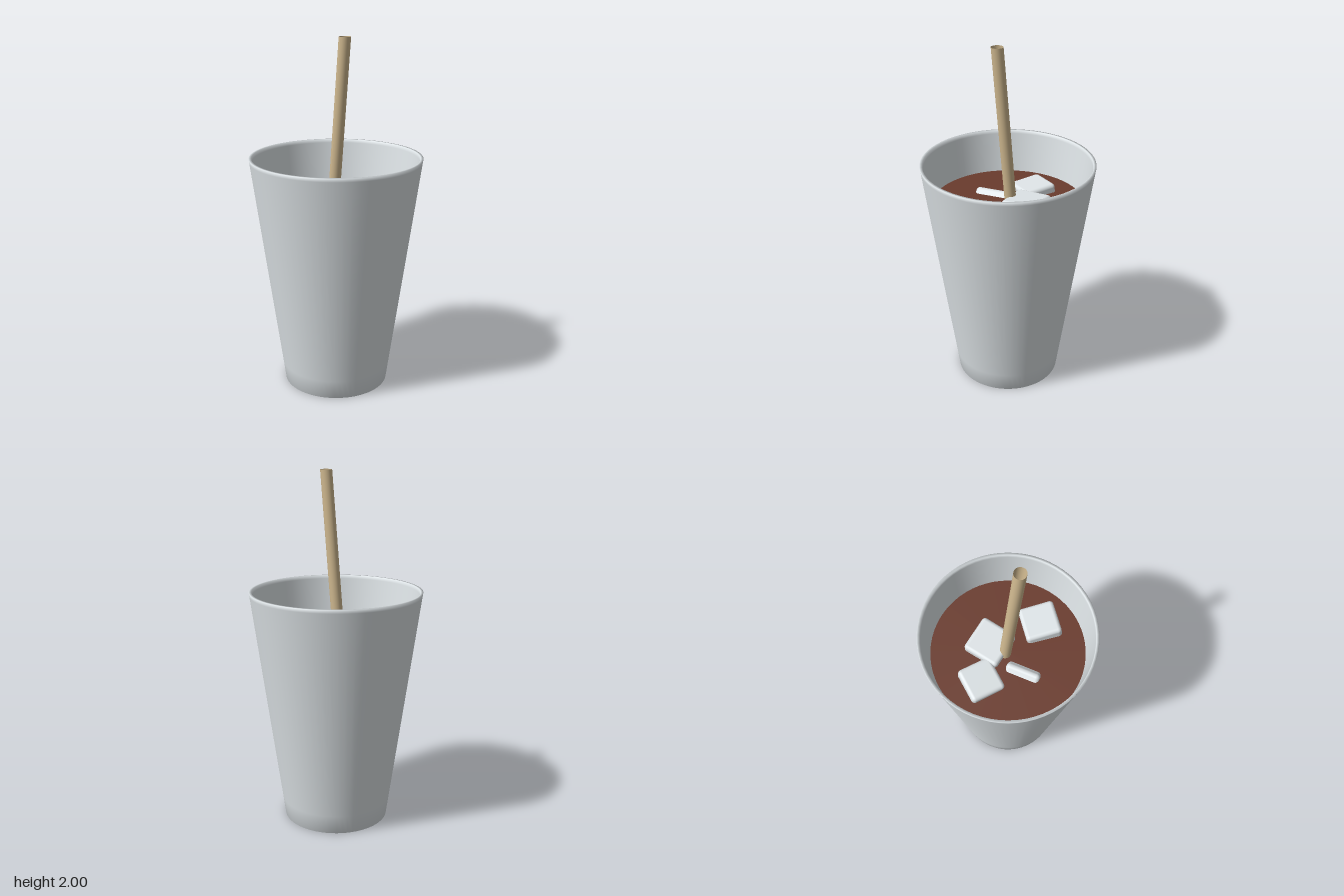
import * as THREE from 'three';
import { RoundedBoxGeometry } from 'three/addons/geometries/RoundedBoxGeometry.js';

const material = (name, color, side = THREE.FrontSide) => {
  const m = new THREE.MeshStandardMaterial({ color, side });
  m.name = name;
  return m;
};

export function createModel() {
  const model = new THREE.Group();
  model.name = 'icedDrink';

  const cupGrey = material('pale cup grey', 0xdde3e6);
  const drinkBrown = material('drink brown', 0x6a3b2d);
  const iceWhite = material('ice white', 0xe0e6e9);
  const strawTan = material('straw tan', 0xcfb88f, THREE.DoubleSide);

  const add = (name, geometry, mat) => {
    const mesh = new THREE.Mesh(geometry, mat);
    mesh.name = name;
    model.add(mesh);
    return mesh;
  };

  // Tapered cup: underside, outer wall, thin rim, inner wall and floor
  const profile = [
    [0, 0], [0.27, 0], [0.3, 0], [0.315, 0.11], [0.482, 1.32], [0.485, 1.34],
    [0.47, 1.34], [0.467, 1.32], [0.3, 0.11], [0.287, 0.03], [0, 0.03],
  ].map(([r, y]) => new THREE.Vector2(r, y));
  add('cup', new THREE.LatheGeometry(profile, 64), cupGrey);

  // Drink filling the cup up to its surface
  const level = 1.09, floor = 0.05;
  const drink = add('drink', new THREE.CylinderGeometry(0.434, 0.288, level - floor, 64), drinkBrown);
  drink.position.y = (level + floor) / 2;

  // Leaning straw, with its ends cut level
  const top = 2, bottom = 0.12, lean = 0.095;
  const straw = new THREE.CylinderGeometry(0.033, 0.033, top - bottom, 24, 1, true);
  straw.translate(0, (top + bottom) / 2, 0);
  const p = straw.attributes.position;
  for (let i = 0; i < p.count; i++) p.setX(i, p.getX(i) + 0.068 + (p.getY(i) - top) * lean);
  straw.computeVertexNormals();
  add('straw', straw, strawTan);

  // Ice cubes: size, x, y, z, turn, tilt about x, tilt about z (degrees)
  const cubes = [
    [0.215, -0.058, 1.035, -0.097, 24, 3, 3],
    [0.205, 0.248, 1.038, -0.032, -19, -4, 5],
    [0.2, -0.225, 1.03, 0.058, -6, 3, -4],
    [0.2, 0.0, 0.982, 0.15, -57, 45, 0],
  ];
  cubes.forEach(([size, x, y, z, turn, tiltX, tiltZ], i) => {
    const cube = add(`iceCube${i + 1}`, new RoundedBoxGeometry(size, size, size, 4, 0.022), iceWhite);
    cube.position.set(x, y, z);
    cube.rotation.set(...[tiltX, turn, tiltZ].map(THREE.MathUtils.degToRad), 'YXZ');
  });

  return model;
}
